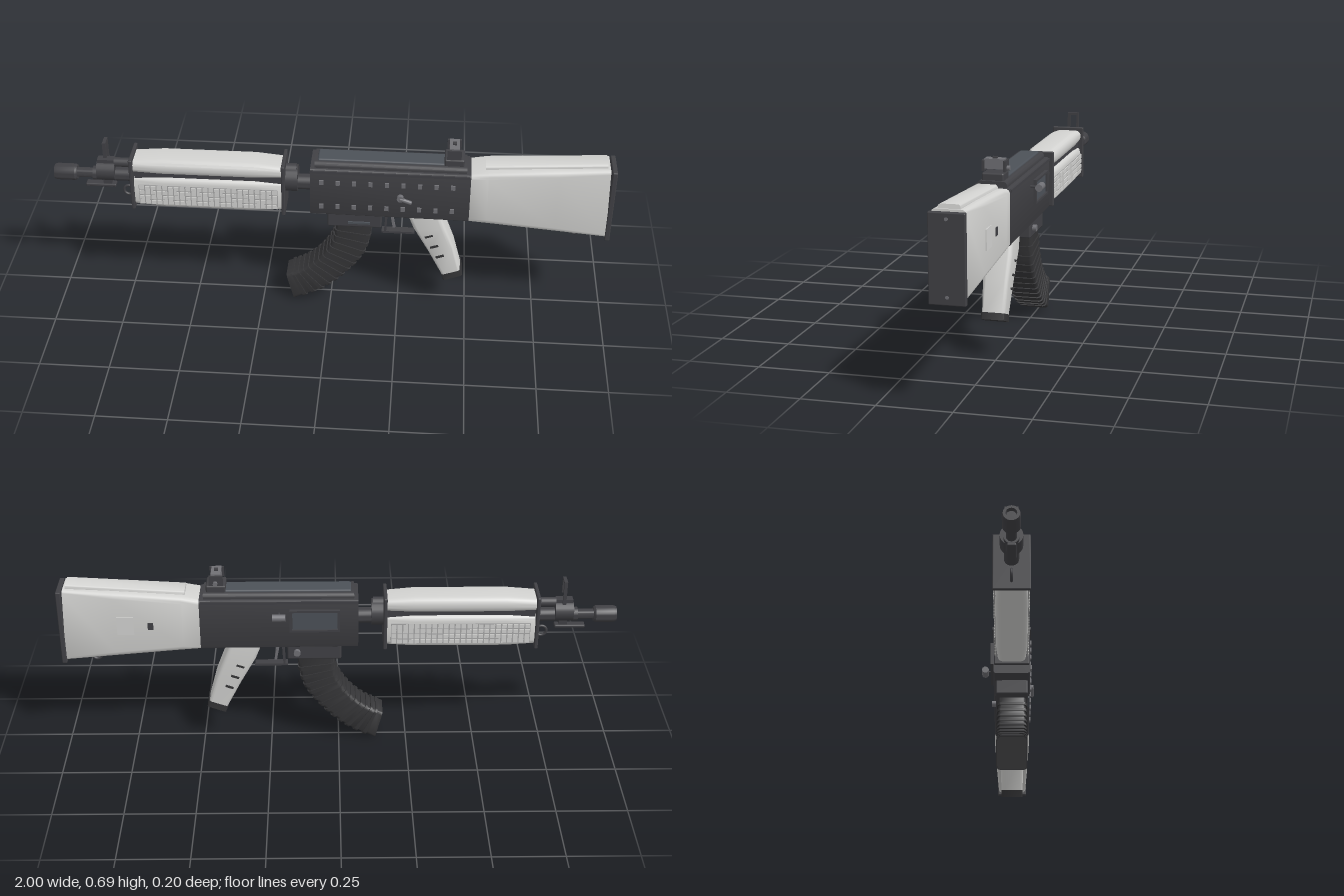
import * as THREE from 'three';
import { toCreasedNormals } from 'three/addons/utils/BufferGeometryUtils.js';
import { RoundedBoxGeometry } from 'three/addons/geometries/RoundedBoxGeometry.js';

const CZ = 0.014; // z of the central plane

const material = (name, color) => {
  const m = new THREE.MeshStandardMaterial({ color });
  m.name = name;
  return m;
};

export function createModel() {
  const root = new THREE.Group();
  root.name = 'rifle';
  const dark = material('dark metal', 0x414145);
  const black = material('black plastic', 0x353537);
  const steel = material('blue grey steel', 0x4c5158);
  const grey = material('grey metal', 0x707075);
  const light = material('light furniture', 0xd3d3d1);
  const shade = material('shaded vent panel', 0xa9a9a9);

  function add(name, geo, mat, x = 0, y = 0, z = 0, rz = 0) {
    const m = new THREE.Mesh(geo, mat);
    m.name = name;
    m.position.set(x, y, z);
    m.rotation.z = rz;
    root.add(m);
    return m;
  }
  const box = (name, mat, w, h, d, x, y, z = CZ, rz = 0) =>
    add(name, new THREE.BoxGeometry(w, h, d), mat, x, y, z, rz);
  const soft = (name, mat, w, h, d, x, y, z = CZ, rz = 0, r = 0.006) =>
    add(name, new RoundedBoxGeometry(w, h, d, 2, r), mat, x, y, z, rz);
  function cyl(name, mat, r, len, axis, x, y, z = CZ) {
    const g = new THREE.CylinderGeometry(r, r, len, 20);
    if (axis === 'x') g.rotateZ(-Math.PI / 2);
    if (axis === 'z') g.rotateX(Math.PI / 2);
    return add(name, g, mat, x, y, z);
  }

  // Lofts rounded rectangles; each section is [ax, ay, bx, by, halfWidth, cornerRadius],
  // where a and b are opposite edges in the side plane.
  function loft(name, mat, sections) {
    const pos = [], idx = [], N = 20, S = sections.length;
    for (const [ax, ay, bx, by, hw, r] of sections) {
      const h = Math.hypot(bx - ax, by - ay) / 2;
      const ux = (bx - ax) / (2 * h), uy = (by - ay) / (2 * h);
      for (let i = 0; i < N; i++) {
        const c = Math.floor(i / 5), t = (c + (i % 5) / 4) * Math.PI / 2;
        const su = c === 0 || c === 3 ? 1 : -1, sv = c < 2 ? 1 : -1;
        const u = su * (h - r) + r * Math.cos(t), v = sv * (hw - r) + r * Math.sin(t);
        pos.push((ax + bx) / 2 + ux * u, (ay + by) / 2 + uy * u, CZ + v);
      }
    }
    for (const [ax, ay, bx, by] of [sections[0], sections[S - 1]]) pos.push((ax + bx) / 2, (ay + by) / 2, CZ);
    for (let i = 0; i < N; i++) {
      const j = (i + 1) % N;
      for (let s = 0; s < S - 1; s++) {
        const a = s * N + i, b = s * N + j;
        idx.push(a, b, b + N, a, b + N, a + N);
      }
      idx.push(S * N, j, i, S * N + 1, (S - 1) * N + i, (S - 1) * N + j);
    }
    // Flip the faces if the enclosed volume is negative
    const p = k => new THREE.Vector3().fromArray(pos, k * 3);
    let vol = 0;
    for (let k = 0; k < idx.length; k += 3) vol += p(idx[k]).dot(p(idx[k + 1]).cross(p(idx[k + 2])));
    if (vol < 0) idx.reverse();
    const g = new THREE.BufferGeometry();
    g.setAttribute('position', new THREE.Float32BufferAttribute(pos, 3));
    g.setIndex(idx);
    return add(name, toCreasedNormals(g, 0.6), mat);
  }

  // Receiver and top cover
  loft('receiver', dark, [[-0.07, 0.41, -0.07, 0.6, 0.067, 0.01], [0.495, 0.405, 0.495, 0.6, 0.067, 0.01]]);
  loft('topCover', dark, [[-0.055, 0.58, -0.055, 0.62, 0.052, 0.014], [0.48, 0.58, 0.48, 0.62, 0.052, 0.014]]);
  soft('topRail', steel, 0.51, 0.02, 0.07, 0.21, 0.616);
  box('sideRail', dark, 0.56, 0.01, 0.141, 0.21, 0.592);

  // Rivets and selector on the front face
  for (let i = 0; i < 9; i++)
    for (const y of [0.45, 0.55]) box('rivet', grey, 0.015, 0.017, 0.012, -0.03 + i * 0.058, y, 0.081);
  cyl('selectorPivot', grey, 0.012, 0.02, 'z', 0.25, 0.5, 0.087);
  soft('selectorLever', grey, 0.05, 0.014, 0.014, 0.268, 0.492, 0.092, -0.35);

  // Port frame and charging handle on the rear face
  box('portCover', steel, 0.16, 0.07, 0.006, 0.085, 0.522, -0.055);
  for (const s of [-1, 1]) {
    box('portFrameBar', dark, 0.18, 0.008, 0.014, 0.085, 0.522 + s * 0.039, -0.058);
    box('portFrameEnd', dark, 0.008, 0.086, 0.014, 0.085 + s * 0.086, 0.522, -0.058);
  }
  cyl('chargingStem', dark, 0.004, 0.04, 'z', 0.212, 0.55, -0.07);
  cyl('chargingHandle', grey, 0.013, 0.046, 'x', 0.212, 0.55, -0.087);

  // Rear sight
  soft('sightBase', dark, 0.07, 0.03, 0.076, 0.435, 0.63);
  for (const s of [-1, 1]) box('sightWing', dark, 0.05, 0.037, 0.008, 0.433, 0.666, CZ + 0.037 * s);
  box('sightLeaf', grey, 0.035, 0.034, 0.068, 0.433, 0.672);
  box('sightNotch', dark, 0.014, 0.012, 0.016, 0.433, 0.689);
  cyl('sightKnob', grey, 0.008, 0.014, 'z', 0.435, 0.658, -0.03);

  // Stock, comb and butt plate
  loft('stock', light, [
    [0.495, 0.402, 0.495, 0.6, 0.066, 0.016], [0.56, 0.396, 0.555, 0.612, 0.069, 0.022],
    [0.8, 0.372, 0.8, 0.628, 0.063, 0.02], [0.985, 0.354, 0.975, 0.637, 0.056, 0.014]]);
  loft('comb', light, [[0.545, 0.595, 0.545, 0.624, 0.038, 0.01], [0.97, 0.615, 0.965, 0.651, 0.036, 0.01]]);
  soft('buttPlate', dark, 0.018, 0.288, 0.119, 0.99, 0.488, CZ, 0, 0.004);
  for (const y of [0.37, 0.612]) cyl('buttScrew', grey, 0.006, 0.004, 'x', 0.998, y, CZ);
  add('slingLoop', new THREE.TorusGeometry(0.018, 0.005, 8, 20), dark, 0.88, 0.348, CZ);
  box('stockButton', dark, 0.02, 0.028, 0.008, 0.67, 0.5, -0.051);
  box('stockHatch', light, 0.06, 0.07, 0.006, 0.76, 0.5, -0.05);

  // Magazine well and curved ribbed magazine
  soft('magazineWell', dark, 0.195, 0.065, 0.118, 0.088, 0.388);
  box('magazineCatch', steel, 0.08, 0.008, 0.008, 0.105, 0.377, 0.075);
  cyl('magazinePin', grey, 0.012, 0.014, 'z', 0.15, 0.387, -0.053);
  const curve = pts => new THREE.CatmullRomCurve3(pts.map(([x, y]) => new THREE.Vector3(x, y, 0)));
  const inner = curve([[0.025, 0.37], [0.01, 0.28], [-0.035, 0.202], [-0.1, 0.145], [-0.163, 0.117]]);
  const outer = curve([[0.155, 0.37], [0.125, 0.24], [0.06, 0.145], [-0.025, 0.065], [-0.135, 0.006]]);
  function magSection(t, grow) {
    const a = inner.getPoint(t), b = outer.getPoint(t);
    const d = b.clone().sub(a).normalize().multiplyScalar(grow);
    a.sub(d);
    b.add(d);
    return [a.x, a.y, b.x, b.y, 0.051 + grow, 0.014];
  }
  loft('magazine', black, Array.from({ length: 17 }, (_, i) => magSection(i / 16, 0)));
  for (let i = 0; i < 12; i++) {
    const t = 0.1 + i * 0.072;
    loft('magazineRib', black, [magSection(t, 0.004), magSection(t + 0.03, 0.004)]);
  }

  // Grip with base cap and side marks
  loft('grip', light, [
    [0.275, 0.412, 0.392, 0.412, 0.047, 0.014], [0.3, 0.35, 0.415, 0.355, 0.05, 0.016],
    [0.355, 0.25, 0.448, 0.27, 0.045, 0.014], [0.412, 0.138, 0.477, 0.163, 0.04, 0.01]]);
  loft('gripCap', black, [[0.408, 0.142, 0.48, 0.168, 0.041, 0.006], [0.417, 0.118, 0.485, 0.144, 0.041, 0.006]]);
  for (const [x, y] of [[0.357, 0.32], [0.378, 0.275], [0.4, 0.232]])
    for (const s of [-1, 1]) box('gripMark', black, 0.03, 0.008, 0.004, x, y, CZ + s * 0.0475, 0.35);

  // Trigger and guard
  box('guardBottom', dark, 0.12, 0.008, 0.03, 0.245, 0.308);
  box('guardFront', dark, 0.008, 0.1, 0.03, 0.2, 0.357, CZ, -0.05);
  box('trigger', grey, 0.009, 0.085, 0.014, 0.222, 0.366, CZ, 0.18);

  // Barrel and muzzle as one turned profile, [radius, x]
  const profile = [[0, -0.985], [0.016, -0.985], [0.018, -1], [0.027, -1], [0.03, -0.99], [0.03, -0.925],
    [0.025, -0.918], [0.018, -0.918], [0.018, -0.86], [0.025, -0.86], [0.025, -0.72], [0.022, -0.72],
    [0.022, -0.17], [0.028, -0.17], [0.028, -0.06], [0, -0.06]];
  const lathe = new THREE.LatheGeometry(profile.map(([r, x]) => new THREE.Vector2(r, x)), 24);
  lathe.rotateZ(-Math.PI / 2);
  add('barrel', toCreasedNormals(lathe, 0.6), dark, 0, 0.505, CZ);
  cyl('trunnion', dark, 0.048, 0.05, 'x', -0.143, 0.52);
  cyl('gasTubeRear', dark, 0.022, 0.05, 'x', -0.148, 0.555);
  cyl('gasTube', dark, 0.017, 0.07, 'x', -0.745, 0.555);

  // Front sight block, post loop, lug and ring
  cyl('sightCollar', dark, 0.038, 0.065, 'x', -0.81, 0.522);
  box('sightBlock', dark, 0.06, 0.03, 0.03, -0.81, 0.555);
  for (const s of [-1, 1]) box('sightPost', dark, 0.012, s > 0 ? 0.055 : 0.09, 0.009, -0.808, s > 0 ? 0.612 : 0.598, CZ + s * 0.018);
  box('sightBridge', dark, 0.012, 0.01, 0.045, -0.808, 0.64);
  soft('cleaningRod', dark, 0.11, 0.012, 0.03, -0.835, 0.46, CZ, 0, 0.004);
  box('lug', dark, 0.03, 0.04, 0.02, -0.81, 0.475);
  add('slingRing', new THREE.TorusGeometry(0.019, 0.005, 8, 20), dark, -0.735, 0.437, CZ);

  // Handguard: two shells on a dark core between end plates
  box('handguardCore', dark, 0.53, 0.1, 0.085, -0.437, 0.535);
  loft('upperHandguard', light, [
    [-0.705, 0.542, -0.705, 0.588, 0.052, 0.02], [-0.6, 0.538, -0.6, 0.597, 0.057, 0.025],
    [-0.27, 0.538, -0.27, 0.597, 0.057, 0.025], [-0.17, 0.542, -0.17, 0.588, 0.052, 0.02]]);
  loft('lowerHandguard', light, [
    [-0.705, 0.405, -0.705, 0.522, 0.05, 0.02], [-0.6, 0.4, -0.6, 0.527, 0.056, 0.022],
    [-0.27, 0.4, -0.27, 0.527, 0.056, 0.022], [-0.17, 0.405, -0.17, 0.522, 0.05, 0.02]]);
  for (const x of [-0.711, -0.167]) soft('handguardPlate', dark, 0.013, 0.206, 0.126, x, 0.498, CZ, 0, 0.004);
  for (const s of [-1, 1]) {
    box('ventPanel', shade, 0.5, 0.08, 0.004, -0.437, 0.458, CZ + s * 0.0555);
    for (let row = 0; row < 4; row++)
      for (let i = 0; i < 24; i++)
        box('ventStud', light, 0.0165, 0.015, 0.006, -0.676 + i * 0.0208, 0.428 + row * 0.02, CZ + s * 0.0575);
  }
  return root;
}
